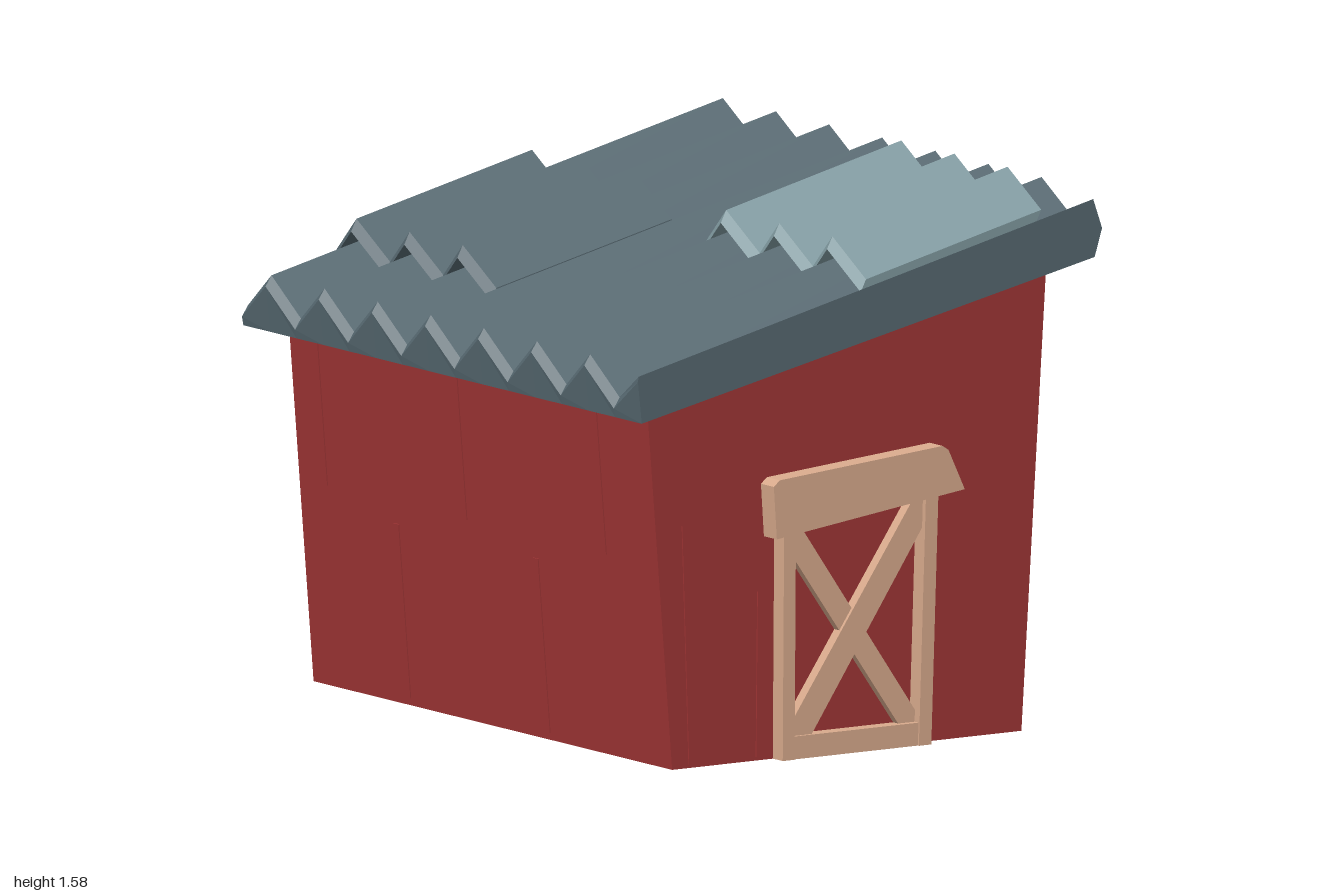
import * as THREE from 'three';

const material = (name, color) => {
  const m = new THREE.MeshStandardMaterial({ color });
  m.name = name;
  return m;
};

// Closed solid from rings of [x, y] at increasing z; each ring runs counter-clockwise seen from +z
function loft(stations) {
  const pos = [];
  const tri = (...pts) => pts.forEach((p) => pos.push(...p));
  const rings = stations.map(({ z, ring }) => ring.map(([x, y]) => [x, y, z]));
  const n = rings[0].length;
  for (let k = 0; k < rings.length - 1; k++) {
    for (let i = 0; i < n; i++) {
      const j = (i + 1) % n;
      const a = rings[k][i], b = rings[k][j], c = rings[k + 1][j], d = rings[k + 1][i];
      tri(a, b, c);
      tri(a, c, d);
    }
  }
  const back = rings[0], front = rings[rings.length - 1];
  for (let i = 1; i < n - 1; i++) {
    tri(back[0], back[i + 1], back[i]);
    tri(front[0], front[i], front[i + 1]);
  }
  const g = new THREE.BufferGeometry();
  g.setAttribute('position', new THREE.Float32BufferAttribute(pos, 3));
  g.computeVertexNormals();
  return g;
}

// Flat outline extruded between two z depths
function slab(points, z0, z1) {
  const shape = new THREE.Shape(points.map(([x, y]) => new THREE.Vector2(x, y)));
  const g = new THREE.ExtrudeGeometry(shape, { depth: z1 - z0, bevelEnabled: false });
  return g.translate(0, 0, z0);
}

export function createModel() {
  const model = new THREE.Group();
  model.name = 'shed';
  const red = material('barn red', 0xa03535);
  const slate = material('slate roof', 0x566870);
  const pale = material('pale roof panel', 0x809aa0);
  const wood = material('light wood', 0xd8aa8c);

  const add = (name, geometry, mat, parent = model) => {
    const mesh = new THREE.Mesh(geometry, mat);
    mesh.name = name;
    parent.add(mesh);
    return mesh;
  };

  // Walls flare outward toward a sloping top
  add('walls', slab([[-0.58, 0], [0.6, 0], [0.685, 1.336], [-0.665, 1.045]], -0.93, 0.87), red);

  // Corrugated roof: valleys and ridges alternate along z
  const pitch = 0.8 / 3;
  const bottom = [[-0.77, 1.02], [0.76, 1.35], [0.785, 1.43]];
  const stations = [];
  for (let i = 0; i < 15; i++) {
    const top = i % 2
      ? [[0.76, 1.54], [-0.765, 1.18], [-0.785, 1.15]]
      : [[0.785, 1.432], [-0.755, 1.075], [-0.775, 1.045]];
    stations.push({ z: -1 + (i * pitch) / 2, ring: [...bottom, ...top] });
  }
  stations.push({ z: 1, ring: [...bottom, [0.755, 1.515], [-0.78, 1.155], [-0.783, 1.14]] });
  add('roof', loft(stations), slate);

  // Loose corrugated sheets lying on the roof
  function sheet(name, mat, x0, y0, x1, y1, z0) {
    const rows = [];
    for (let i = 0; i < 7; i++) {
      const dx = i % 2 ? 0 : 0.024, dy = i % 2 ? 0 : -0.106;
      const L = [x0 + dx, y0 + dy], R = [x1 + dx, y1 + dy];
      const under = ([x, y]) => [x - 0.018, y - 0.035];
      rows.push({ z: z0 + (i * pitch) / 2, ring: [under(L), under(R), R, L] });
    }
    add(name, loft(rows), mat);
  }
  sheet('paleRoofSheet', pale, 0.053, 1.438, 0.645, 1.58, 0.067);
  sheet('slateRoofSheet', slate, -0.498, 1.32, 0.095, 1.46, -0.97);

  // Door frame with crossed braces and a crooked lintel
  const door = new THREE.Group();
  door.name = 'door';
  model.add(door);
  const plank = (name, pts, depth) => add(name, slab(pts, 0.865, depth), wood, door);
  plank('leftPost', [[-0.24, 0], [-0.2, 0], [-0.195, 0.68], [-0.235, 0.68]], 0.92);
  plank('rightPost', [[0.22, 0], [0.262, 0], [0.287, 0.74], [0.245, 0.74]], 0.92);
  plank('bottomRail', [[-0.21, 0], [0.23, 0], [0.23, 0.065], [-0.21, 0.065]], 0.915);
  plank('braceFalling', [[-0.205, 0.66], [-0.205, 0.595], [0.17, 0.06], [0.226, 0.06], [0.226, 0.095], [-0.165, 0.66]], 0.895);
  plank('braceRising', [[-0.205, 0.06], [-0.135, 0.06], [0.25, 0.63], [0.25, 0.7], [0.21, 0.7], [-0.205, 0.098]], 0.905);
  plank('lintel', [[-0.27, 0.635], [0.365, 0.718], [0.31, 0.835], [0.29, 0.848], [-0.26, 0.802], [-0.28, 0.785]], 0.935);

  // Raised board seams, same colour as the walls
  const seam = (name, pts) => add(name, slab(pts, 0.867, 0.874), red);
  seam('frontSeamTall', [[-0.525, 0.01], [-0.5, 0.01], [-0.52, 0.66], [-0.548, 0.69]]);
  seam('frontSeamShort', [[-0.298, 0.01], [-0.27, 0.01], [-0.265, 0.46], [-0.293, 0.48]]);
  [0.6, 0.25, -0.1, -0.45, -0.8].forEach((z, i) => {
    for (const side of [1, -1]) {
      const lean = side > 0 ? 0.0636 : 0.0814;
      const h = 0.42 + 0.08 * (i % 2);
      const y = side > 0 ? 1.29 - h / 2 : i % 2 ? 0.02 + h / 2 : 1.0 - h / 2;
      const x = side > 0 ? 0.6 + y * 0.0637 : -0.58 - y * 0.0816;
      const m = add('sideSeam', new THREE.BoxGeometry(0.006, h, 0.025), red);
      m.position.set(x, y, z);
      m.rotation.z = -side * lean;
    }
  });

  return model;
}
